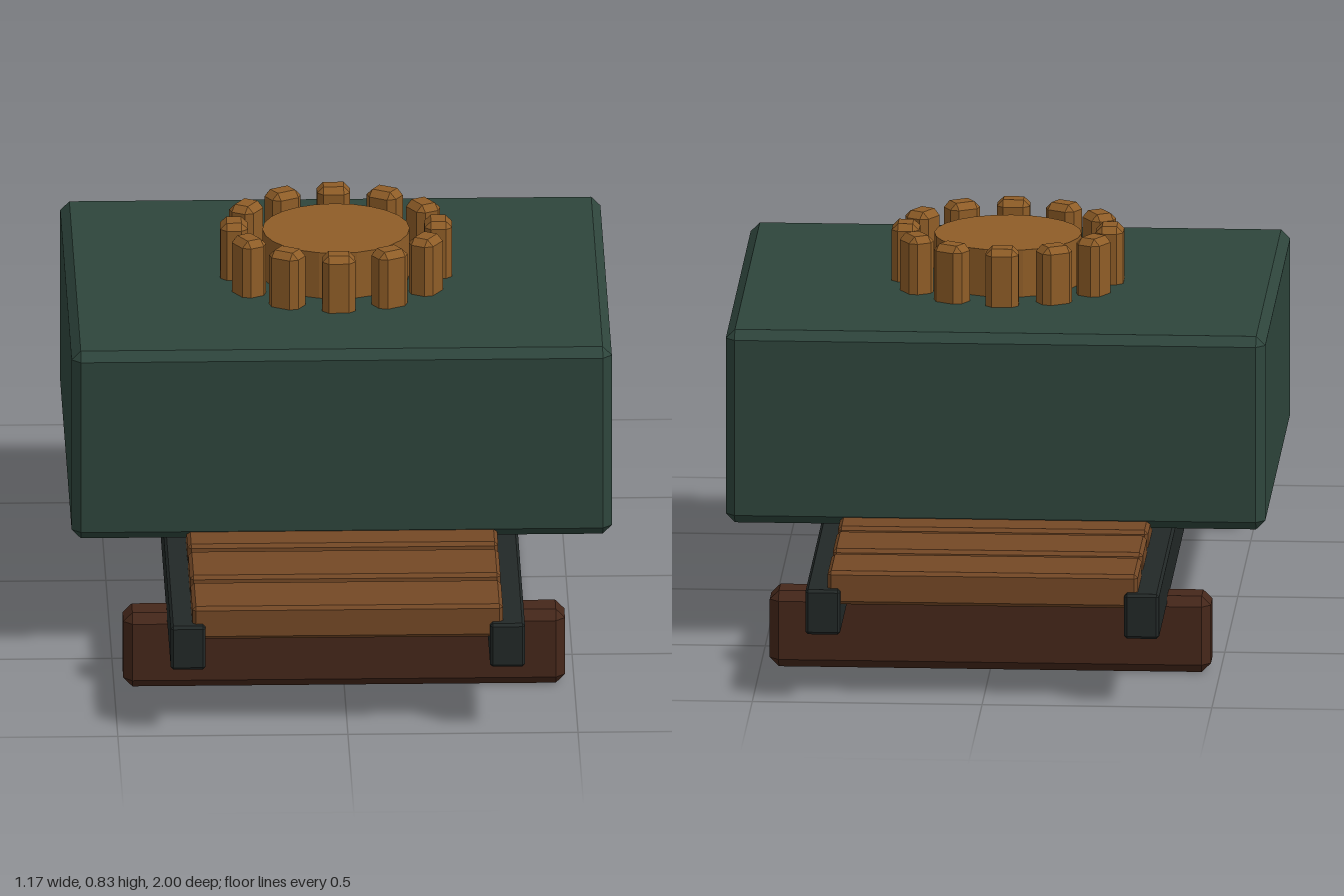
import * as THREE from 'three';
import { ConvexGeometry } from 'three/addons/geometries/ConvexGeometry.js';

const paint = (color) => new THREE.MeshStandardMaterial({ color, flatShading: true });

// Box with every edge cut by a flat chamfer c
function chamferBox(w, h, d, c) {
  const points = [];
  for (const sx of [-1, 1]) for (const sy of [-1, 1]) for (const sz of [-1, 1]) {
    const x = w / 2, y = h / 2, z = d / 2;
    points.push(
      new THREE.Vector3(sx * x, sy * (y - c), sz * (z - c)),
      new THREE.Vector3(sx * (x - c), sy * y, sz * (z - c)),
      new THREE.Vector3(sx * (x - c), sy * (y - c), sz * z));
  }
  return new ConvexGeometry(points);
}

export function createModel() {
  const model = new THREE.Group();
  model.name = 'loadedSkid';
  const green = paint(0x2e453c);
  const iron = paint(0x222827);
  const darkWood = paint(0x45271a);
  const plankWood = paint(0x744825);
  const gearWood = paint(0x8f5d27);

  const add = (name, geometry, material, x, y, z) => {
    const mesh = new THREE.Mesh(geometry, material);
    mesh.name = name;
    mesh.position.set(x, y, z);
    model.add(mesh);
    return mesh;
  };

  // Two cross beams on the ground and two long rails
  const beam = chamferBox(0.96, 0.17, 0.1, 0.02);
  const rail = chamferBox(0.076, 0.1, 2, 0.006);
  for (const s of [-1, 1]) {
    add(s > 0 ? 'frontBeam' : 'backBeam', beam, darkWood, 0, 0.087, s * 0.65);
    add(s > 0 ? 'leftRail' : 'rightRail', rail, iron, s * 0.347, 0.203, 0);
  }

  // Deck slats
  const slat = chamferBox(0.675, 0.075, 0.165, 0.008);
  for (let i = 0; i < 10; i++) add('slat', slat, plankWood, 0, 0.254, -0.9 + i * 0.2);

  // Large block
  add('block', chamferBox(1.174, 0.432, 1, 0.02), green, 0, 0.489, 0);

  // Gear on top: a hub ringed by separate teeth
  add('gearHub', new THREE.CylinderGeometry(0.16, 0.16, 0.13, 24), gearWood, 0, 0.745, 0);
  const tooth = chamferBox(0.06, 0.15, 0.072, 0.014);
  for (let i = 0; i < 12; i++) {
    const a = (i / 12) * Math.PI * 2;
    add('gearTooth', tooth, gearWood, Math.cos(a) * 0.222, 0.757, Math.sin(a) * 0.222).rotation.y = -a;
  }
  return model;
}
